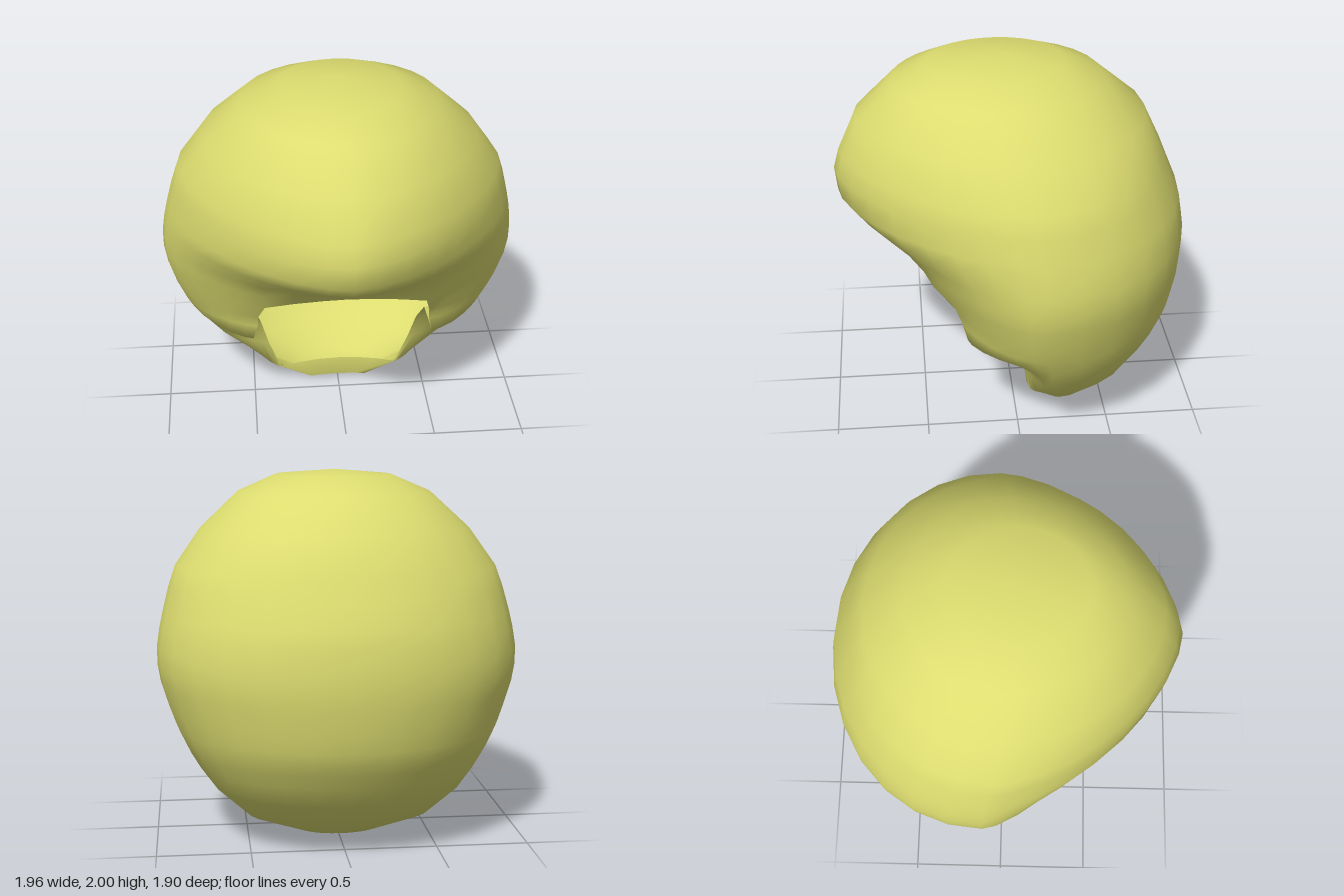
import * as THREE from 'three';
import { mergeVertices } from 'three/addons/utils/BufferGeometryUtils.js';

const RAD = Math.PI / 180;
const CORNER = 32; // ring angle where the face opening ends

// Half-ring angles: front arc over the face, cheek side, back of the head
const half = [0, 11, 22, CORNER, 41, 51, 60, 70, 80, 90, 102, 115, 128, 141, 154, 167, 180];
const angles = [...half, ...half.slice(1, -1).reverse().map((a) => -a)];

// Crown and brim rings: y, half width, widest z, back z, front z, lift of the front arc
const crown = [
  [2.0, 0, 0.02, 0.02, 0.02, 0],
  [1.97, 0.32, 0.06, -0.29, 0.44, 0],
  [1.88, 0.53, 0.03, -0.5, 0.63, 0],
  [1.69, 0.735, 0, -0.725, 0.83, 0],
  [1.49, 0.875, -0.04, -0.82, 0.92, 0],
  [1.38, 0.912, -0.06, -0.865, 0.95, 0],
  [1.25, 0.945, -0.08, -0.92, 0.935, 0],
  [1.16, 0.965, -0.09, -0.935, 0.85, 0],
  [1.06, 0.98, -0.1, -0.95, 0.72, 0.02],
  [0.96, 0.98, -0.1, -0.95, 0.63, 0.06],
  [0.86, 0.963, -0.1, -0.945, 0.57, 0.11],
];

// Rings beside and under the opening: y, half width, widest z, back z, edge x, edge z, edge y
const lower = [
  [0.72, 0.92, -0.1, -0.92, 0.47, 0.33, 0.73],
  [0.63, 0.885, -0.12, -0.9, 0.475, 0.3, 0.65],
  [0.56, 0.85, -0.14, -0.875, 0.5, 0.27, 0.55], // sideburn tip
  [0.5, 0.82, -0.15, -0.84, 0.475, 0.12, 0.61], // notch under the sideburn
  [0.42, 0.77, -0.17, -0.795, 0.45, 0, 0.47],
  [0.3, 0.68, -0.2, -0.715, 0.41, -0.05, 0.3],
  [0.14, 0.5, -0.23, -0.52, 0.34, -0.085, 0.1], // nape lip
  [0.035, 0.23, -0.18, -0.33, 0.16, -0.085, 0.02],
  [0, 0, -0.15, -0.15, 0, -0.15, 0],
];

const pow = (v, k) => Math.pow(Math.max(v, 0), k);

// Back half of any ring
function backPoint(t, y, w, zc, zb) {
  return [w * pow(Math.sin(t * RAD), 0.97), y, zc + (zb - zc) * pow(-Math.cos(t * RAD), 0.97)];
}

function crownPoint([y, w, zc, zb, zf, lift], t) {
  if (t > 90) return backPoint(t, y, w, zc, zb);
  const k = 2 / (1.6 + 0.4 * THREE.MathUtils.clamp((y - 1.4) / 0.6, 0, 1));
  const up = t < CORNER ? lift * (1 - (t / CORNER) ** 2) : 0;
  return [w * pow(Math.sin(t * RAD), k), y + up, zc + (zf - zc) * pow(Math.cos(t * RAD), k)];
}

function lowerPoint([y, w, zc, zb, e, ze, ye], t) {
  if (t > 90) return backPoint(t, y, w, zc, zb);
  if (t < CORNER) {
    const u = t / CORNER;
    return [e * u, ye + 0.45 * ye * (1 - u * u), ze];
  }
  const s = (t - CORNER) / (90 - CORNER);
  const blend = Math.max(0, 1 - (s / 0.55) ** 2);
  return [
    e + (w - e) * pow(Math.sin(s * 90 * RAD), 1.4),
    y + (ye - y) * blend,
    zc + (ze - zc) * pow(Math.cos(s * 90 * RAD), 1.4),
  ];
}

function shellGeometry() {
  const rows = [
    ...crown.map((r) => (t) => crownPoint(r, t)),
    ...lower.map((r) => (t) => lowerPoint(r, t)),
  ];
  const positions = [];
  for (const row of rows) {
    for (const a of angles) {
      const [x, y, z] = row(Math.abs(a));
      positions.push(a < 0 ? -x : x, y, z);
    }
  }

  // Skin the rings, leaving the face opening out
  const n = angles.length;
  const openFrom = crown.length - 1;
  const openTo = crown.length + 6;
  const index = [];
  for (let i = 0; i < rows.length - 1; i++) {
    for (let j = 0; j < n; j++) {
      const j2 = (j + 1) % n;
      const inFront = Math.abs(angles[j]) <= CORNER && Math.abs(angles[j2]) <= CORNER;
      if (inFront && i >= openFrom && i < openTo) continue;
      const a = i * n + j, b = i * n + j2;
      const c = a + n, d = b + n;
      if (i > 0) index.push(a, c, b);
      else index.push(a, c, d);
      if (i > 0 && i < rows.length - 2) index.push(b, c, d);
    }
  }
  const geometry = new THREE.BufferGeometry();
  geometry.setAttribute('position', new THREE.Float32BufferAttribute(positions, 3));
  geometry.setIndex(index);
  const merged = mergeVertices(geometry, 1e-4);
  merged.computeVertexNormals();
  return merged;
}

export function createModel() {
  const blond = new THREE.MeshStandardMaterial({ color: 0xdcdc70, side: THREE.DoubleSide });
  blond.name = 'blond';

  const group = new THREE.Group();
  group.name = 'hair';
  const shell = new THREE.Mesh(shellGeometry(), blond);
  shell.name = 'hairShell';
  group.add(shell);
  return group;
}
